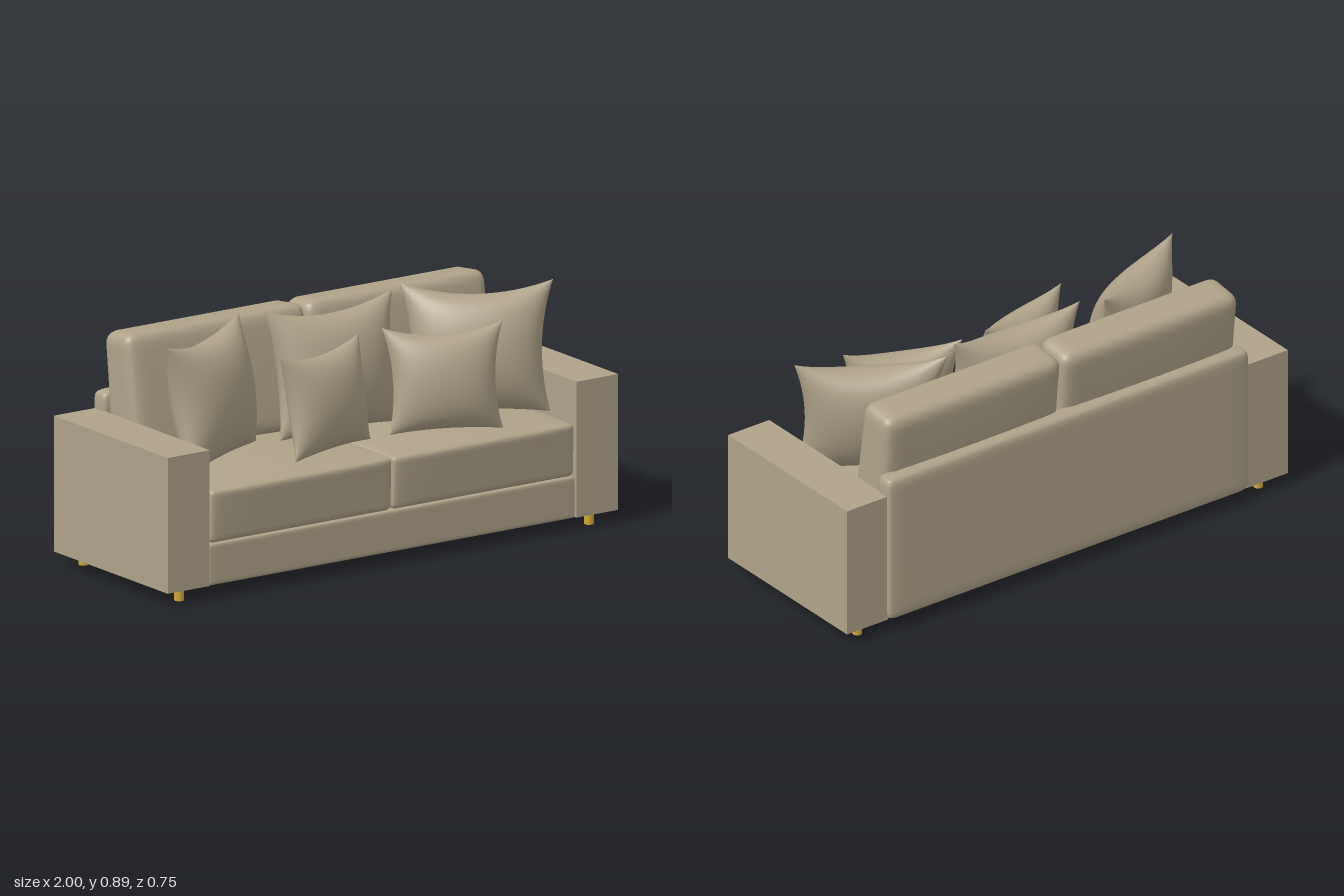
import * as THREE from 'three';
import { mergeVertices, mergeGeometries } from 'three/addons/utils/BufferGeometryUtils.js';

const fabric = new THREE.MeshStandardMaterial({ color: 0xb0a38a });
fabric.name = 'beige fabric';
const brass = new THREE.MeshStandardMaterial({ color: 0xd0a838 });
brass.name = 'brass';

// Rounded box with vertices gathered near its edges; shape(p, u, v, w) can reshape it
function softBox(w, h, d, r, shape) {
  let geo = new THREE.BoxGeometry(2, 2, 2, 20, 20, 20);
  geo.deleteAttribute('uv');
  geo.deleteAttribute('normal');
  geo = mergeVertices(geo);
  const pos = geo.attributes.position;
  const half = new THREE.Vector3(w / 2, h / 2, d / 2);
  const limit = half.clone().subScalar(r);
  const p = new THREE.Vector3();
  const q = new THREE.Vector3();
  for (let i = 0; i < pos.count; i++) {
    p.fromBufferAttribute(pos, i);
    p.set(...p.toArray().map((t) => Math.sin((t * Math.PI) / 2))).multiply(half);
    q.copy(p).clamp(limit.clone().negate(), limit);
    p.sub(q).setLength(r).add(q);
    if (shape) shape(p, p.x / half.x, p.y / half.y, p.z / half.z);
    pos.setXYZ(i, p.x, p.y, p.z);
  }
  geo.computeVertexNormals();
  return geo;
}

// Throw pillow: two domed sheets meeting at a seam pinched in between the corners
function pillowGeometry(w, h, thick) {
  const front = new THREE.PlaneGeometry(2, 2, 24, 24);
  const pos = front.attributes.position;
  for (let i = 0; i < pos.count; i++) {
    const u = Math.sin((pos.getX(i) * Math.PI) / 2);
    const v = Math.sin((pos.getY(i) * Math.PI) / 2);
    const a = Math.max(0, 1 - u * u);
    const b = Math.max(0, 1 - v * v);
    pos.setXYZ(
      i,
      (w / 2) * u * (1 - 0.13 * b * u * u) * (0.97 + 0.03 * v),
      (h / 2) * v * (1 - (v > 0 ? 0.2 : 0.06) * a * v * v),
      (thick / 2) * Math.pow(a * b, 0.55)
    );
  }
  front.computeVertexNormals();
  return mergeGeometries([front, front.clone().rotateY(Math.PI)]);
}

export function createModel() {
  const sofa = new THREE.Group();
  sofa.name = 'sofa';
  const add = (name, geo, x, y, z, mat = fabric) => {
    const mesh = new THREE.Mesh(geo, mat);
    mesh.name = name;
    mesh.position.set(x, y, z);
    sofa.add(mesh);
    return mesh;
  };

  // Frame
  add('base', softBox(1.63, 0.158, 0.71, 0.012), 0, 0.126, 0);
  add('backrest', softBox(1.64, 0.585, 0.085, 0.03), 0, 0.3375, -0.3325);

  const seat = softBox(0.808, 0.2, 0.65, 0.02, (p, u, v, w) => {
    const crown = (1 - u * u) * (1 - w * w);
    if (v > 0) p.y += 0.025 * crown * v;
    if (w > 0) p.z += 0.018 * w * (1 - u * u * u * u * 0.7) * (0.5 + 0.5 * v);
  });
  const backCushion = softBox(0.797, 0.46, 0.18, 0.045, (p, u, v, w) => {
    p.z *= 1 - 0.07 * v;
    p.z += 0.008 * w * (1 - u * u) * (1 - v * v);
  });

  for (const [side, s] of [['left', 1], ['right', -1]]) {
    add(side + 'Arm', new THREE.BoxGeometry(0.186, 0.51, 0.715), s * 0.907, 0.305, 0.001);
    add(side + 'SeatCushion', seat, s * 0.405, 0.305, 0.032);
    add(side + 'BackCushion', backCushion, s * 0.401, 0.632, -0.231).rotation.x = -0.13;
    // Legs
    for (const [end, z] of [['Front', 0.302], ['Back', -0.298]]) {
      add(side + end + 'Leg', new THREE.CylinderGeometry(0.018, 0.018, 0.052, 20), s * 0.91, 0.026, z, brass);
    }
  }

  // Throw pillows: name, size, position, turn
  const large = pillowGeometry(0.56, 0.48, 0.23);
  const small = pillowGeometry(0.45, 0.39, 0.18);
  const pillows = [
    ['rightLargePillow', large, -0.565, 0.657, 0.025, 0.47],
    ['middleLargePillow', large, 0.02, 0.657, -0.04, -0.03],
    ['leftLargePillow', large, 0.595, 0.657, 0.045, -0.53],
    ['rightSmallPillow', small, -0.16, 0.61, 0.165, 0.26],
    ['leftSmallPillow', small, 0.35, 0.61, 0.185, -0.38],
  ];
  for (const [name, geo, x, y, z, turn] of pillows) {
    add(name, geo, x, y, z).rotation.set(-0.17, turn, 0, 'YXZ');
  }
  return sofa;
}
